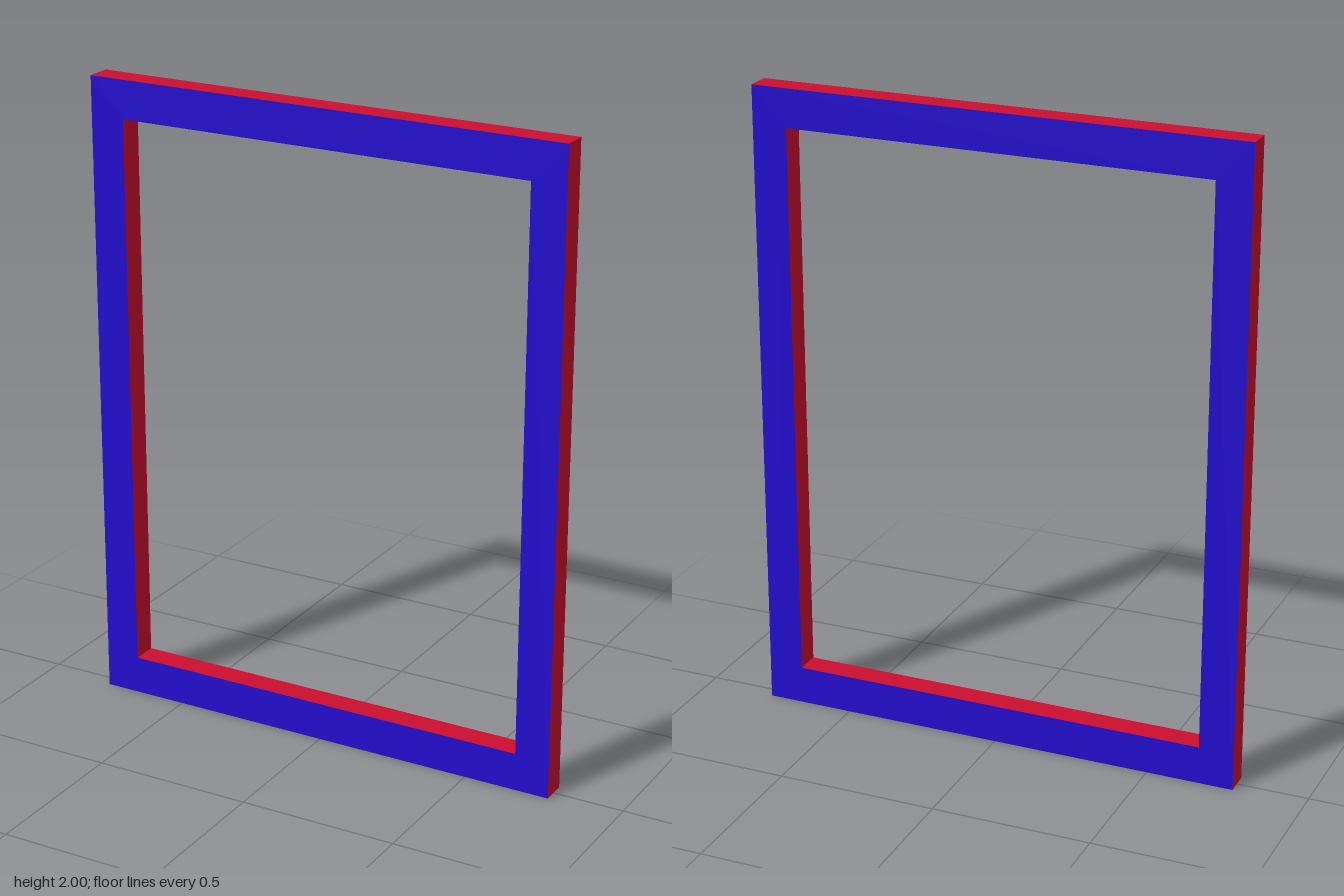
import * as THREE from 'three';

const WIDTH = 1.55, HEIGHT = 2, DEPTH = 0.08;
const SIDE_BAR = 0.11, END_BAR = 0.12;

// Rectangle outline centred on x, between two heights
function rectangle(path, halfWidth, bottom, top) {
  path.moveTo(-halfWidth, bottom);
  path.lineTo(halfWidth, bottom);
  path.lineTo(halfWidth, top);
  path.lineTo(-halfWidth, top);
  path.closePath();
  return path;
}

export function createModel() {
  const model = new THREE.Group();
  model.name = 'rectangularFrame';

  // Outer outline with the window opening cut out
  const outline = rectangle(new THREE.Shape(), WIDTH / 2, 0, HEIGHT);
  outline.holes.push(rectangle(new THREE.Path(), WIDTH / 2 - SIDE_BAR, END_BAR, HEIGHT - END_BAR));

  const geometry = new THREE.ExtrudeGeometry(outline, { depth: DEPTH, bevelEnabled: false });
  geometry.translate(0, 0, -DEPTH / 2);

  // Blue front and back faces, red outer and inner edges
  const faces = new THREE.MeshStandardMaterial({ color: 0x220ccc });
  const edges = new THREE.MeshStandardMaterial({ color: 0xcc0f2e });
  const frame = new THREE.Mesh(geometry, [faces, edges]);
  frame.name = 'frame';
  model.add(frame);

  return model;
}
